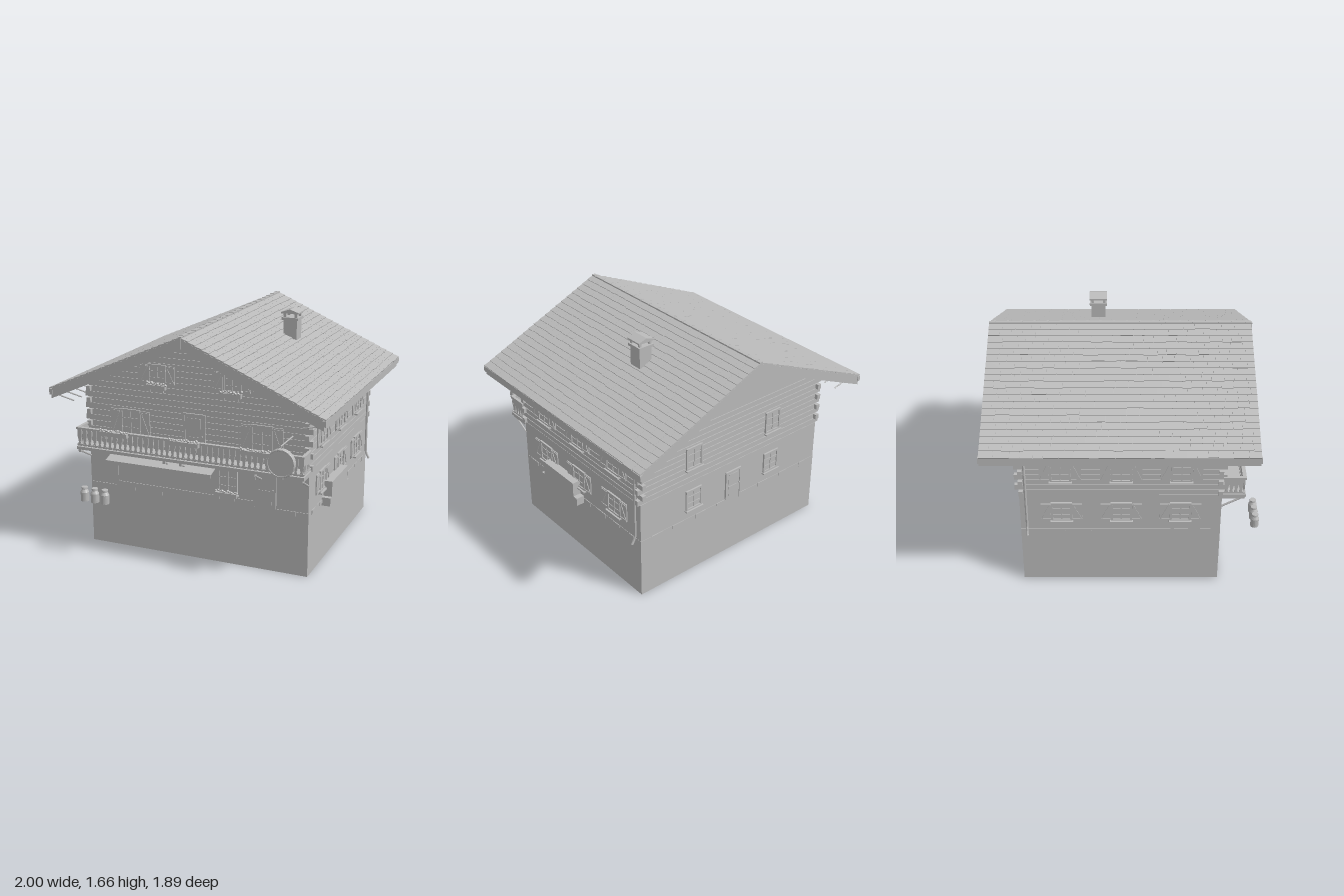
import * as THREE from 'three';
import { mergeGeometries } from 'three/addons/utils/BufferGeometryUtils.js';

const plain = new THREE.MeshStandardMaterial({ color: 0xbababa, flatShading: true });
plain.name = 'plain grey';

const FRONT = 0.665, BACK = -0.715, MID = (FRONT + BACK) / 2, SIDE = 0.82;
const SLOPE = 0.44;
const roofY = x => 1.62 - SLOPE * Math.abs(x);

let seed = 7;
const rand = () => (seed = (seed * 16807) % 2147483647) / 2147483647;

// Box geometry from size and centre
const bx = (w, h, d, x, y, z) => new THREE.BoxGeometry(w, h, d).translate(x, y, z);

function add(parent, name, geos) {
  const list = (Array.isArray(geos) ? geos : [geos]).map(g => (g.index ? g.toNonIndexed() : g));
  const mesh = new THREE.Mesh(list.length > 1 ? mergeGeometries(list) : list[0], plain);
  mesh.name = name;
  parent.add(mesh);
  return mesh;
}

// Outline in x/y pushed along z from z0 to z1
function slab(points, z0, z1) {
  const shape = new THREE.Shape(points.map(p => new THREE.Vector2(...p)));
  return new THREE.ExtrudeGeometry(shape, { depth: z1 - z0, bevelEnabled: false }).translate(0, 0, z0);
}

// Straight round rod between two points
function rod(a, b, r) {
  const path = new THREE.LineCurve3(new THREE.Vector3(...a), new THREE.Vector3(...b));
  return new THREE.TubeGeometry(path, 1, r, 6);
}

// Window facing +z with its centre at the origin
function makeWindow(w, h, shutters) {
  const g = new THREE.Group();
  const t = 0.014;
  add(g, 'windowFrame', [
    bx(t, h, 0.016, -w / 2 + t / 2, 0, 0.004), bx(t, h, 0.016, w / 2 - t / 2, 0, 0.004),
    bx(w, t, 0.016, 0, h / 2 - t / 2, 0.004), bx(w, t, 0.016, 0, -h / 2 + t / 2, 0.004),
    bx(0.009, h, 0.01, 0, 0, 0.004), bx(w, 0.006, 0.009, 0, h * 0.17, 0.004),
    bx(w, 0.006, 0.009, 0, -h * 0.17, 0.004), bx(w + 0.012, 0.01, 0.03, 0, -h / 2 - 0.003, 0.01)
  ]);
  add(g, 'windowPane', bx(w - t, h - t, 0.006, 0, 0, 0.001));
  if (shutters) for (const s of [-1, 1]) {
    const sw = w * 0.46, sx = s * (w / 2 + sw / 2 + 0.002), sh = h - 0.012;
    const brace = bx(0.008, Math.hypot(sw, sh) * 0.9, 0.005, 0, 0, 0).rotateZ(s * Math.atan2(sw, sh)).translate(sx, 0, 0.01);
    add(g, 'shutter', [bx(sw, sh, 0.008, sx, 0, 0.004), brace,
      bx(sw, 0.009, 0.005, sx, sh * 0.42, 0.01), bx(sw, 0.009, 0.005, sx, -sh * 0.42, 0.01)]);
  }
  return g;
}

function makeDoor(w, h) {
  const g = new THREE.Group();
  add(g, 'doorFrame', [bx(0.012, h, 0.016, -w / 2, h / 2, 0.004), bx(0.012, h, 0.016, w / 2, h / 2, 0.004),
    bx(w + 0.012, 0.012, 0.016, 0, h, 0.004)]);
  add(g, 'doorLeaf', [bx(w, h, 0.008, 0, h / 2, 0.002), bx(w * 0.65, h * 0.36, 0.005, 0, h * 0.27, 0.007),
    bx(w * 0.65, h * 0.36, 0.005, 0, h * 0.73, 0.007)]);
  add(g, 'doorKnob', new THREE.SphereGeometry(0.006, 8, 6).translate(w * 0.4, h * 0.48, 0.012));
  return g;
}

// Planter with leafy blossoms and two drooping stems
function makeFlowerBox(w) {
  const g = new THREE.Group();
  add(g, 'planter', bx(w, 0.03, 0.03, 0, 0, 0));
  const blooms = [];
  const n = Math.round(w / 0.016);
  for (let i = 0; i < n; i++) {
    blooms.push(new THREE.IcosahedronGeometry(0.008 + rand() * 0.004, 0)
      .translate((i / (n - 1) - 0.5) * w, 0.018 + rand() * 0.012, (rand() - 0.3) * 0.025));
  }
  for (const s of [-0.35, 0.35]) blooms.push(bx(0.009, 0.03, 0.008, s * w, -0.025, 0));
  add(g, 'flowers', blooms);
  return g;
}

function place(parent, item, name, x, y, z, turn = 0) {
  item.name = name;
  item.position.set(x, y, z);
  item.rotation.y = turn;
  parent.add(item);
}

function buildWalls(house) {
  add(house, 'foundation', bx(1.65, 0.458, FRONT - BACK, 0, 0.229, MID));
  add(house, 'wallCore', slab([[-SIDE, 0.455], [SIDE, 0.455], [SIDE, 1.2], [0, 1.56], [-SIDE, 1.2]], BACK + 0.006, FRONT - 0.006));
  add(house, 'plasterStorey', bx(1.648, 0.295, FRONT - BACK - 0.002, 0, 0.607, MID));
  // Log courses with crossing ends at the corners
  const logs = [], c = 0.042;
  for (let i = 0; i < 19; i++) {
    const y = 0.777 + i * c, h = c - 0.005;
    const low = y < 1.17;
    const long = i % 2 === 0;
    const half = low ? SIDE + (long ? 0.026 : 0) : Math.min(SIDE, (1.55 - y - c / 2) / SLOPE);
    if (half < 0.04) break;
    logs.push(bx(half * 2, h, 0.03, 0, y, FRONT - 0.015));
    if (!low) continue;
    logs.push(bx(half * 2, h, 0.03, 0, y, BACK + 0.015));
    const len = FRONT - BACK + (long ? 0 : 0.05);
    for (const s of [-1, 1]) logs.push(bx(0.03, h, len, s * (SIDE - 0.01), y, MID));
  }
  add(house, 'logCourses', logs);
  // Loose stones along the foot of the plaster
  const stones = [];
  for (let i = 0; i < 8; i++) {
    const t = (i + 0.5) / 8 - 0.5, w = 0.05 + rand() * 0.06, h = 0.02 + rand() * 0.02;
    for (const z of [FRONT, BACK]) stones.push(bx(w, h, 0.008, t * 1.6, 0.46 - h / 2, z));
    for (const s of [-1, 1]) stones.push(bx(0.008, h, w, s * 0.825, 0.46 - h / 2, MID + t * 1.34));
  }
  add(house, 'footStones', stones);
}

function buildRoof(house) {
  const z0 = -0.94, z1 = 0.885, tip = 0.985;
  add(house, 'roofSlab', slab([[0, 1.55], [tip, 1.55 - SLOPE * tip], [tip, roofY(tip)],
    [0, 1.62], [-tip, roofY(tip)], [-tip, 1.55 - SLOPE * tip]], z0, z1));
  // Overlapping shingles, uneven at their lower edges
  const rows = 20, tilt = Math.atan(SLOPE), shingles = [];
  for (const s of [-1, 1]) for (let r = 0; r < rows; r++) {
    let z = z0;
    while (z < z1 - 0.001) {
      let w = 0.06 + rand() * 0.05;
      if (z + w > z1 - 0.04) w = z1 - z;
      const x = (r + 0.5) * 0.0495, len = 0.064 + rand() * 0.012;
      shingles.push(new THREE.BoxGeometry(len, 0.009, w - 0.001).rotateZ(-s * (tilt - 0.1))
        .translate(s * x, roofY(x) + 0.005, z + w / 2));
      z += w;
    }
  }
  add(house, 'shingles', shingles);
  const ridge = [bx(0.026, 0.016, z1 - z0, 0, 1.625, (z0 + z1) / 2), bx(0.022, 0.075, 0.012, 0, 1.59, z1)];
  for (let i = 0; i < 20; i++) ridge.push(bx(0.032, 0.008, 0.014, 0, 1.632, z0 + 0.04 + i * 0.092));
  add(house, 'ridgeCap', ridge);
  // Gutters with slanted brackets under the eaves
  const eaves = [];
  for (const s of [-1, 1]) {
    eaves.push(bx(0.022, 0.04, z1 - z0 + 0.01, s * 0.988, 1.165, (z0 + z1) / 2));
    for (let i = 0; i < 18; i++) eaves.push(rod([s * 0.985, 1.14, z0 + 0.08 + i * 0.1], [s * 0.83, 1.105, z0 + 0.08 + i * 0.1], 0.005));
  }
  add(house, 'eaveGutters', eaves);

  const ch = new THREE.Group();
  add(ch, 'chimneyStack', bx(0.1, 0.2, 0.1, 0, 1.49, 0));
  add(ch, 'chimneyCollar', bx(0.124, 0.02, 0.124, 0, 1.59, 0));
  const posts = [];
  for (const a of [-1, 1]) for (const b of [-1, 1]) posts.push(bx(0.018, 0.045, 0.018, a * 0.042, 1.615, b * 0.042));
  add(ch, 'chimneyPosts', posts);
  add(ch, 'chimneyCap', slab([[-0.065, 1.628], [0.065, 1.628], [0.065, 1.638], [0, 1.66], [-0.065, 1.638]], -0.063, 0.063));
  place(house, ch, 'chimney', 0.39, 0, -0.187);
}

function buildOpenings(house) {
  for (const s of [-1, 1]) {
    for (const z of [0.385, -0.02, -0.43]) {
      place(house, makeWindow(0.145, 0.17, true), 'sideWindowUpper', s * 0.826, 0.955, z, s * Math.PI / 2);
      place(house, makeWindow(0.145, 0.155, true), 'sideWindowLower', s * 0.825, 0.612, z, s * Math.PI / 2);
    }
    place(house, makeWindow(0.14, 0.17, false), 'backWindowUpper', s * 0.365, 0.95, BACK, Math.PI);
    place(house, makeWindow(0.14, 0.16, false), 'backWindowLower', s * 0.365, 0.612, BACK, Math.PI);
    place(house, makeWindow(0.155, 0.2, true), 'balconyWindow', s * 0.49, 0.935, FRONT);
    place(house, makeWindow(0.135, 0.14, true), 'atticWindow', s * 0.277, 1.305, FRONT);
    place(house, makeFlowerBox(0.145), 'atticFlowers', s * 0.277, 1.22, FRONT + 0.02);
  }
  place(house, makeWindow(0.145, 0.18, false), 'frontWindow', 0.245, 0.605, FRONT);
  place(house, makeFlowerBox(0.155), 'frontFlowers', 0.24, 0.515, FRONT + 0.02);
  place(house, makeDoor(0.15, 0.275), 'frontDoor', 0.515, 0.458, FRONT);
  place(house, makeDoor(0.15, 0.29), 'balconyDoor', 0, 0.762, FRONT);
  place(house, makeDoor(0.13, 0.22), 'backDoor', 0, 0.462, BACK, Math.PI);
  // Thin surround of the shop front
  add(house, 'shopFront', [bx(0.022, 0.28, 0.008, -0.61, 0.6, FRONT), bx(1.04, 0.034, 0.008, -0.09, 0.475, FRONT)]);
}

function buildBalcony(house) {
  const g = new THREE.Group();
  const z = 0.808, w = 0.84;
  add(g, 'balconyFloor', bx(w * 2, 0.022, 0.16, 0, 0.756, 0.742));
  const rails = [bx(w * 2, 0.014, 0.026, 0, 0.9, z), bx(w * 2, 0.01, 0.014, 0, 0.78, z)];
  const board = [[-0.016, 0.77], [0.016, 0.77], [0.007, 0.8], [0.016, 0.845], [0.016, 0.895],
    [-0.016, 0.895], [-0.016, 0.845], [-0.007, 0.8]];
  const boards = [];
  for (let i = 0; i < 42; i++) boards.push(slab(board, -0.005, 0.005).translate(-0.82 + i * 0.04, 0, z));
  for (const s of [-1, 1]) {
    rails.push(bx(0.022, 0.014, 0.145, s * (w - 0.011), 0.9, 0.74), bx(0.014, 0.01, 0.145, s * (w - 0.011), 0.78, 0.74));
    for (let i = 0; i < 4; i++) boards.push(slab(board, -0.005, 0.005).rotateY(Math.PI / 2).translate(s * (w - 0.011), 0, 0.69 + i * 0.032));
  }
  add(g, 'balconyRails', rails);
  add(g, 'balconyBoards', boards);
  const beams = [];
  for (const x of [-0.82, -0.165, -0.04, 0.49, 0.82]) {
    beams.push(bx(0.018, 0.02, 0.155, x, 0.735, 0.74), rod([x, 0.735, 0.81], [x, 0.655, FRONT], 0.007));
  }
  add(g, 'balconyBeams', beams);
  place(house, g, 'balcony', 0, 0, 0);
  for (const x of [-0.535, 0, 0.51]) place(house, makeFlowerBox(0.21), 'balconyFlowers', x, 0.893, z + 0.025);

  // Awning with a scalloped valance
  const edge = [[-0.62, 0.69], [-0.62, 0.665]];
  for (let i = 1; i <= 32; i++) edge.push([-0.62 + i * 0.025, i % 2 ? 0.655 : 0.665]);
  edge.push([0.18, 0.69]);
  add(house, 'awning', [slab(edge, 0.806, 0.811),
    slab([[FRONT, 0.728], [0.811, 0.683], [0.811, 0.69], [FRONT, 0.736]], -0.18, 0.62).rotateY(-Math.PI / 2)]);
}

function buildExtras(house) {
  // Round blank hanging board on its arm
  add(house, 'roundBoard', [new THREE.CylinderGeometry(0.095, 0.095, 0.034, 32).rotateX(Math.PI / 2).translate(0.705, 0.87, 0.88),
    new THREE.TorusGeometry(0.09, 0.006, 6, 32).translate(0.705, 0.87, 0.895)]);
  add(house, 'boardArm', [rod([0.705, 0.985, FRONT], [0.705, 0.985, 0.89], 0.005), rod([0.705, 0.985, 0.88], [0.705, 0.96, 0.88], 0.004)]);
  add(house, 'lantern', [new THREE.CylinderGeometry(0.012, 0.008, 0.045, 6).translate(0.645, 0.71, FRONT + 0.025),
    bx(0.006, 0.006, 0.03, 0.645, 0.738, FRONT + 0.012)]);
  // Milk cans
  const profile = [[0, 0.41], [0.029, 0.41], [0.03, 0.475], [0.019, 0.495], [0.019, 0.502], [0.023, 0.503], [0.022, 0.512], [0, 0.513]]
    .map(p => new THREE.Vector2(...p));
  for (const x of [-0.735, -0.655, -0.575]) add(house, 'milkCan', new THREE.LatheGeometry(profile, 16).translate(x, 0, 0.914));
  // Stepped log stack against the left wall
  const stack = [[-0.06, 0.415], [0.38, 0.415], [0.38, 0.475], [0.345, 0.475], [0.345, 0.585], [-0.02 + 0.125, 0.585],
    [-0.02, 0.585], [-0.02, 0.475], [-0.06, 0.475]];
  add(house, 'woodStack', slab(stack.map(([z, y]) => [-z, y]), 0.815, 0.886).rotateY(Math.PI / 2));
  // Downpipes with kicked-out feet
  for (const s of [-1, 1]) {
    const path = new THREE.CatmullRomCurve3([[0.95, 1.14], [0.845, 1.08], [0.838, 0.9], [0.838, 0.56], [0.84, 0.48], [0.865, 0.43]]
      .map(([x, y]) => new THREE.Vector3(s * x, y, -0.67)));
    add(house, 'downpipe', new THREE.TubeGeometry(path, 24, 0.009, 8));
  }
}

export function createModel() {
  const house = new THREE.Group();
  house.name = 'chalet';
  buildWalls(house);
  buildRoof(house);
  buildOpenings(house);
  buildBalcony(house);
  buildExtras(house);
  return house;
}
